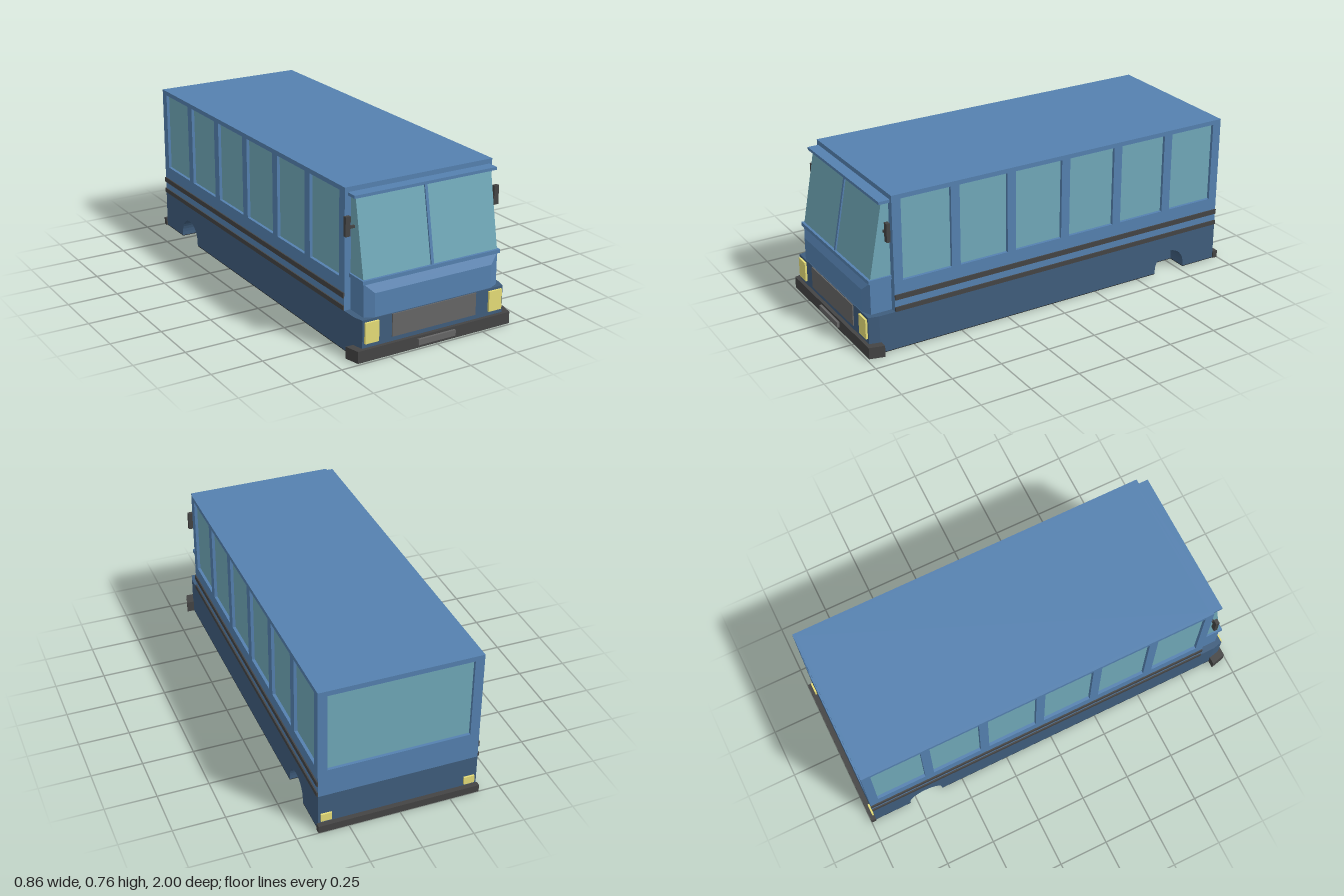
import * as THREE from 'three';
import { ConvexGeometry } from 'three/addons/geometries/ConvexGeometry.js';

const mat = (color) => new THREE.MeshStandardMaterial({ color });

export function createModel() {
  const bus = new THREE.Group();
  bus.name = 'bus';
  const blue = mat(0x5581b0), navy = mat(0x3f5d7d), glass = mat(0x70a9b9);
  const dark = mat(0x444444), grey = mat(0x666666), black = mat(0x222222), yellow = mat(0xe6dd78);

  const add = (name, geometry, material) => {
    const mesh = new THREE.Mesh(geometry, material);
    mesh.name = name;
    bus.add(mesh);
    return mesh;
  };
  // Box given by its extents on each axis
  const box = (name, material, [x0, x1], [y0, y1], [z0, z1]) => add(name,
    new THREE.BoxGeometry(x1 - x0, y1 - y0, z1 - z0)
      .translate((x0 + x1) / 2, (y0 + y1) / 2, (z0 + z1) / 2), material);
  // The same box on both sides
  const pair = (name, material, [x0, x1], y, z) => {
    box(name + 'Left', material, [x0, x1], y, z);
    box(name + 'Right', material, [-x1, -x0], y, z);
  };
  const poly = (pts) => new THREE.Shape(pts.map(([u, v]) => new THREE.Vector2(u, v)));
  const rect = (u0, u1, v0, v1) => poly([[u0, v0], [u1, v0], [u1, v1], [u0, v1]]);
  const extrude = (shape, depth) =>
    new THREE.ExtrudeGeometry(shape, { depth, bevelEnabled: false, curveSegments: 8 });
  // (z, y) profile extruded over x0..x1
  const sideSlab = (shape, x0, x1) =>
    extrude(shape, x1 - x0).rotateY(-Math.PI / 2).translate(x1, 0, 0);
  // (x, z) footprint extruded over y0..y1
  const flatSlab = (shape, y0, y1) =>
    extrude(shape, y1 - y0).rotateX(Math.PI / 2).translate(0, y1, 0);
  // Convex block from points, each mirrored in x
  const convex = (pts) => new ConvexGeometry(
    pts.flatMap(([x, y, z]) => [new THREE.Vector3(x, y, z), new THREE.Vector3(-x, y, z)]));

  const back = -0.975, front = 0.84, nose = 0.97, half = 0.39, beltY = 0.19, roofY = 0.76;
  const archZ = -0.697, archR = 0.087, archDepth = 0.1;

  // Upper body: window walls around a recessed glass core
  const wall = rect(back, front, beltY, roofY);
  for (let i = 0; i < 6; i++) {
    const z = -0.93 + i * 0.295;
    wall.holes.push(rect(z, z + 0.25, 0.34, 0.738));
  }
  add('sideWallLeft', sideSlab(wall, half - 0.015, half), blue);
  add('sideWallRight', sideSlab(wall, -half, -half + 0.015), blue);
  const rear = rect(-0.375, 0.375, beltY, roofY);
  rear.holes.push(rect(-0.345, 0.345, 0.33, 0.735));
  add('rearWall', extrude(rear, 0.015).translate(0, 0, back), blue);
  box('frontWall', blue, [-0.375, 0.375], [beltY, roofY], [front - 0.015, front]);
  box('roof', blue, [-0.375, 0.375], [0.745, roofY], [back + 0.015, front - 0.015]);
  box('windowGlass', glass, [-0.375, 0.375], [0.3, 0.745], [back + 0.015, front - 0.015]);

  // Lower skirt with rear wheel arches
  const skirt = poly([[back, 0.003], [archZ - archR, 0.003], [archZ - archR, 0.022]]);
  skirt.absarc(archZ, 0.022, archR, Math.PI, 0, true);
  skirt.lineTo(archZ + archR, 0.003);
  skirt.lineTo(front, 0.003);
  skirt.lineTo(front, beltY);
  skirt.lineTo(back, beltY);
  const inner = half - archDepth;
  add('skirtLeft', sideSlab(skirt, inner, half), navy);
  add('skirtRight', sideSlab(skirt, -half, -inner), navy);
  box('skirtCore', navy, [-inner, inner], [0.003, beltY], [back, front]);
  add('skirtNose', flatSlab(poly([[-half, front], [half, front], [half, 0.92],
    [0.378, nose], [-0.378, nose], [-half, 0.92]]), 0.003, beltY), navy);

  // Underside, notched at the arches
  const a0 = archZ - archR, a1 = archZ + archR;
  const edge = [[half, back], [half, a0], [inner, a0], [inner, a1], [half, a1],
    [half, 0.92], [0.378, nose]];
  const mirrored = edge.map(([x, z]) => [-x, z]).reverse();
  add('floor', flatSlab(poly([...edge, ...mirrored]), 0, 0.003), black);

  // Side trim strips
  pair('upperTrim', dark, [half, 0.396], [0.25, 0.275], [back, front]);
  pair('lowerTrim', dark, [half, 0.396], [0.192, 0.214], [back, front]);

  // Cab: hood, sloped windscreen, sill, visor and centre bar
  add('hood', convex([
    [0.358, beltY, front], [0.358, beltY, 0.945], [0.312, beltY, 0.966],
    [0.312, 0.303, 0.966], [0.358, 0.347, front], [0.358, 0.347, 0.945]]), blue);
  add('windscreen', convex([
    [0.358, 0.36, front], [0.358, 0.36, 0.943],
    [0.358, 0.726, front], [0.358, 0.726, 0.875]]), glass);
  add('centreBar', convex([
    [0.007, 0.362, 0.93], [0.007, 0.362, 0.95],
    [0.007, 0.724, 0.865], [0.007, 0.724, 0.882]]), blue);
  box('windscreenSill', blue, [-0.367, 0.367], [0.346, 0.364], [front, 0.955]);
  box('visor', blue, [-0.375, 0.375], [0.723, 0.737], [front, 0.895]);

  // Mirrors
  pair('mirrorArm', dark, [0.352, 0.386], [0.582, 0.594], [0.862, 0.872]);
  pair('mirror', dark, [0.382, 0.407], [0.549, 0.64], [0.858, 0.876]);

  // Front fittings
  pair('headlight', yellow, [0.297, 0.368], [0.079, 0.178], [nose, 0.98]);
  box('grille', grey, [-0.225, 0.225], [0.08, 0.188], [nose, 0.976]);
  add('frontBumper', flatSlab(poly([[-0.41, 0.988], [-0.428, 0.915], [-0.385, 0.915],
    [-0.37, 0.96], [0.37, 0.96], [0.385, 0.915], [0.428, 0.915], [0.41, 0.988]]), 0, 0.057), dark);
  box('frontPlate', grey, [-0.1, 0.1], [0.017, 0.045], [0.988, 1]);

  // Rear fittings
  box('rearBumper', dark, [-0.396, 0.396], [0, 0.037], [-1, back]);
  pair('rearLight', yellow, [0.325, 0.378], [0.048, 0.088], [back - 0.009, back]);

  return bus;
}
